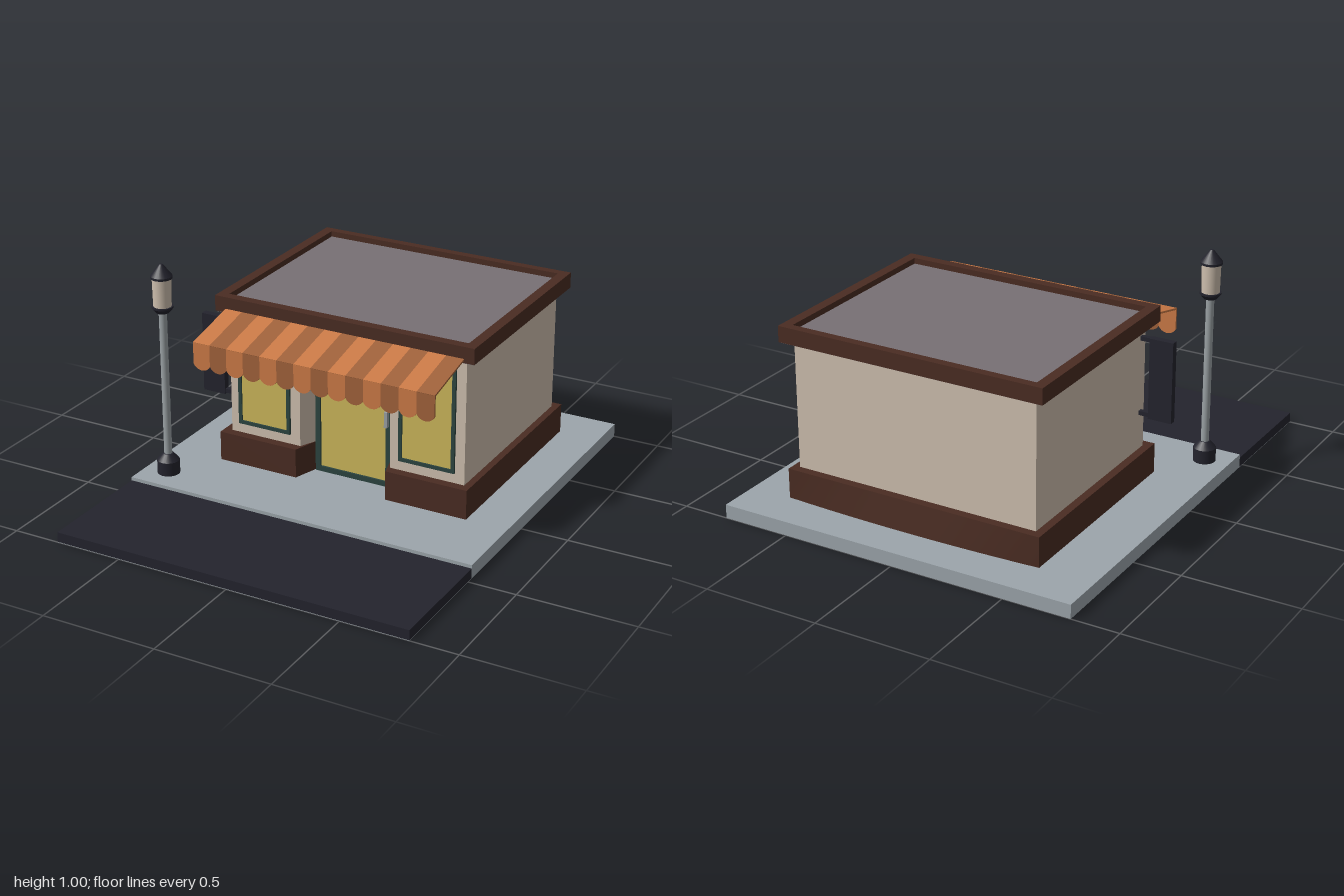
import * as THREE from 'three';

const mat = (name, color, extra = {}) => {
  const m = new THREE.MeshStandardMaterial({ color, ...extra });
  m.name = name;
  return m;
};

export function createModel() {
  const model = new THREE.Group();
  model.name = 'cornerShop';

  const paving = mat('paving grey', 0x9ca5ab);
  const dark = mat('asphalt and iron', 0x23232d);
  const brown = mat('dark brown', 0x4a2c22);
  const cream = mat('cream', 0xcebfae);
  const roofGrey = mat('roof grey', 0x787074);
  const teal = mat('dark teal', 0x2c443f);
  const glass = mat('warm glass', 0xcbb65a);
  const steel = mat('steel', 0x9aa1a4);
  const orange = mat('awning orange', 0xcb7a46);
  const rust = mat('awning rust', 0xa0613a);

  const add = (name, geo, material, parent = model) => {
    const mesh = new THREE.Mesh(geo, material);
    mesh.name = name;
    parent.add(mesh);
    return mesh;
  };
  // Box given by its limits on each axis
  const box = (name, x0, x1, y0, y1, z0, z1, material, parent) => {
    const g = new THREE.BoxGeometry(x1 - x0, y1 - y0, z1 - z0);
    g.translate((x0 + x1) / 2, (y0 + y1) / 2, (z0 + z1) / 2);
    return add(name, g, material, parent);
  };
  const rect = (T, x0, x1, y0, y1) => new T().moveTo(x0, y0).lineTo(x1, y0).lineTo(x1, y1).lineTo(x0, y1).closePath();
  // Extrude a floor plan (plan y = -z) upwards from y0 to y1
  const raise = (shape, y0, y1) =>
    new THREE.ExtrudeGeometry(shape, { depth: y1 - y0, bevelEnabled: false }).rotateX(-Math.PI / 2).translate(0, y0, 0);
  // Upright rectangular frame
  const frame = (name, x0, x1, y0, y1, w, z0, z1, parent) => {
    const s = rect(THREE.Shape, x0, x1, y0, y1);
    s.holes.push(rect(THREE.Path, x0 + w, x1 - w, y0 + w, y1 - w));
    const g = new THREE.ExtrudeGeometry(s, { depth: z1 - z0, bevelEnabled: false }).translate(0, 0, z0);
    return add(name, g, teal, parent);
  };

  // Ground: pavement, road and the shared underside
  box('pavement', -0.795, 0.795, 0, 0.06, -1, 0.47, paving);
  box('road', -0.795, 0.795, 0.002, 0.045, 0.47, 1, dark);
  box('roadUnderside', -0.795, 0.795, 0, 0.002, 0.47, 1, paving);

  // Walls and plinth share a plan with a splayed door recess
  const doorZ = 0.02;
  const plan = (x0, x1, front, back) => new THREE.Shape([
    [x0, front], [-0.185, front], [-0.148, doorZ], [0.208, doorZ], [0.24, front],
    [x1, front], [x1, back], [x0, back],
  ].map(([x, z]) => new THREE.Vector2(x, -z)));
  add('walls', raise(plan(-0.52, 0.58, 0.1, -0.78), 0.06, 0.745), cream);
  add('plinth', raise(plan(-0.555, 0.61, 0.14, -0.815), 0.06, 0.19), brown);

  // Slight bulge along the foot of the rear plinth
  const bulge = new THREE.BoxGeometry(1.165, 0.13, 0.02, 12, 1, 1).translate(0.0275, 0.125, -0.807);
  const bp = bulge.attributes.position;
  for (let i = 0; i < bp.count; i++) {
    if (bp.getZ(i) < -0.81 && bp.getY(i) < 0.1) {
      const t = (bp.getX(i) - 0.0275) / 0.5825;
      bp.setZ(i, -0.817 - 0.018 * (1 - t * t));
    }
  }
  bulge.computeVertexNormals();
  add('rearPlinthFoot', bulge, brown);

  // Roof slab inside a raised border
  box('roof', -0.565, 0.62, 0.738, 0.785, -0.817, 0.127, roofGrey);
  const border = rect(THREE.Shape, -0.57, 0.625, -0.13, 0.822);
  border.holes.push(rect(THREE.Path, -0.525, 0.58, -0.088, 0.785));
  add('roofBorder', raise(border, 0.741, 0.81), brown);

  // Windows
  for (const [side, x0, x1] of [['right', -0.48, -0.23], ['left', 0.282, 0.537]]) {
    const g = new THREE.Group();
    g.name = side + 'Window';
    model.add(g);
    frame('windowFrame', x0, x1, 0.235, 0.69, 0.016, 0.095, 0.11, g);
    box('windowGlass', x0 + 0.014, x1 - 0.014, 0.249, 0.676, 0.098, 0.104, glass, g);
  }

  // Door
  const door = new THREE.Group();
  door.name = 'door';
  model.add(door);
  frame('doorFrame', -0.148, 0.208, 0.06, 0.69, 0.023, doorZ - 0.01, 0.035, door);
  box('doorGlass', -0.127, 0.187, 0.08, 0.67, doorZ - 0.002, doorZ + 0.006, glass, door);
  box('doorHandle', 0.187, 0.201, 0.34, 0.41, 0.03, 0.055, steel, door);

  // Striped awning with a scalloped valance
  const awning = new THREE.Group();
  awning.name = 'awning';
  model.add(awning);
  const strips = 14, w = 1.1 / strips;
  const slope = Math.atan2(0.058, 0.26), len = Math.hypot(0.058, 0.26);
  for (let i = 0; i < strips; i++) {
    const x = -0.52 + i * w, m = i % 2 ? rust : orange;
    const sheet = new THREE.BoxGeometry(w, 0.008, len).rotateX(slope).translate(x + w / 2, 0.727, 0.253);
    add('awningStrip', sheet, m, awning);
    const flap = new THREE.Shape().moveTo(0, 0.7).lineTo(0, 0.608)
      .bezierCurveTo(w * 0.2, 0.576, w * 0.8, 0.576, w, 0.608).lineTo(w, 0.7).closePath();
    const g = new THREE.ExtrudeGeometry(flap, { depth: 0.008, bevelEnabled: false, curveSegments: 8 });
    add('valanceFlap', g.translate(x, 0, 0.376), m, awning);
  }

  // Hanging sign on two brackets
  box('signPanel', -0.67, -0.565, 0.34, 0.693, 0.05, 0.08, dark);
  for (const y of [0.345, 0.674]) box('signBracket', -0.57, -0.515, y, y + 0.018, 0.055, 0.075, dark);

  // Street lamp: stacked turned parts
  const lamp = new THREE.Group();
  lamp.name = 'streetLamp';
  lamp.position.set(-0.685, 0, 0.35);
  model.add(lamp);
  const turned = (name, y0, y1, r0, r1, m) =>
    add(name, new THREE.CylinderGeometry(r1, r0, y1 - y0, 20).translate(0, (y0 + y1) / 2, 0), m, lamp);
  turned('lampFoot', 0.06, 0.12, 0.048, 0.048, dark);
  turned('lampFootTaper', 0.12, 0.15, 0.048, 0.022, dark);
  turned('lampPole', 0.14, 0.8, 0.017, 0.017, steel);
  turned('lampCollar', 0.79, 0.81, 0.028, 0.045, dark);
  turned('lampCollarRim', 0.81, 0.818, 0.045, 0.045, dark);
  turned('lampLantern', 0.815, 0.945, 0.038, 0.04, cream);
  turned('lampCapRim', 0.94, 0.95, 0.046, 0.046, dark);
  turned('lampCap', 0.95, 1.0, 0.046, 0.007, dark);

  return model;
}
